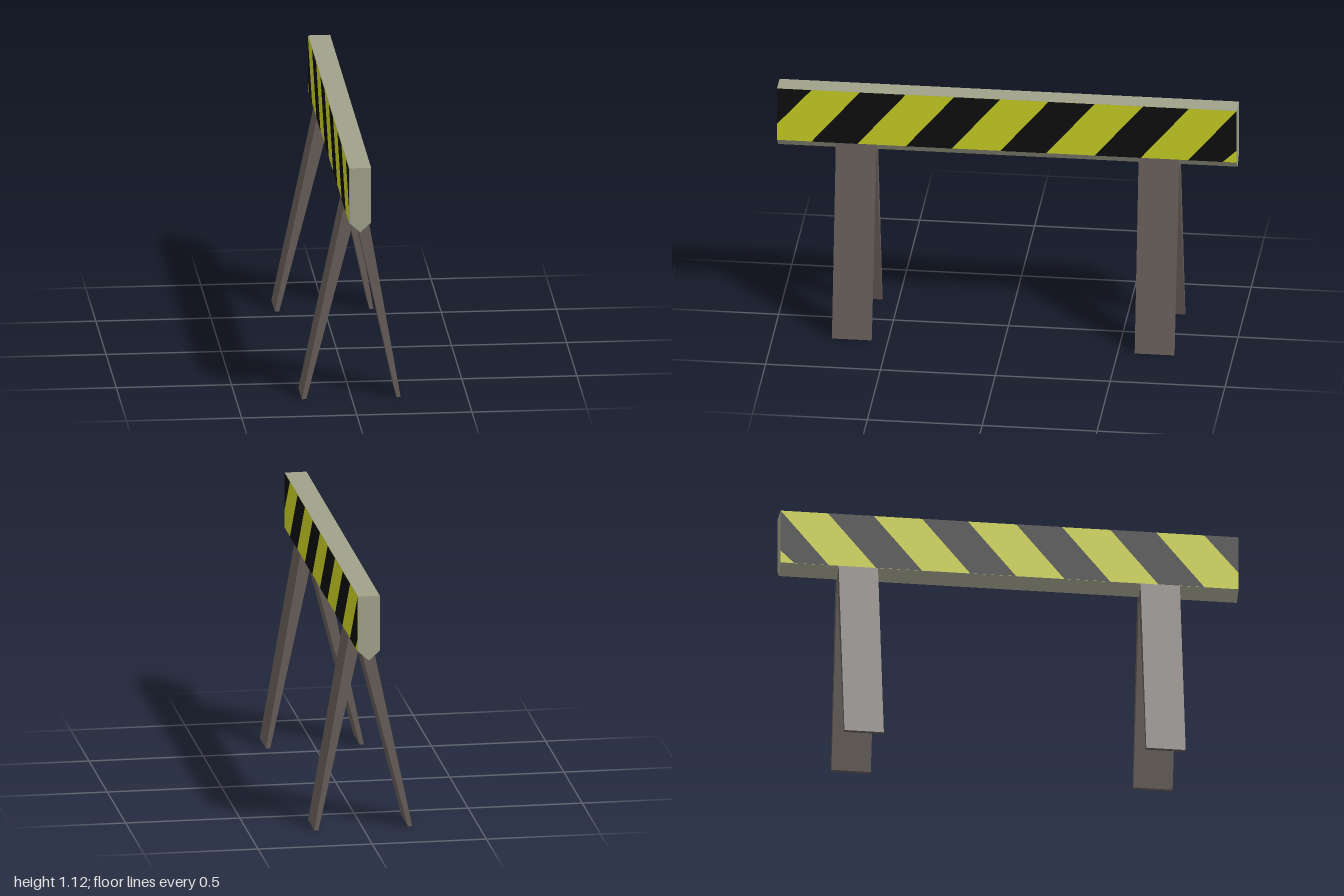
import * as THREE from 'three';

const material = (name, color) => {
  const m = new THREE.MeshStandardMaterial({ color });
  m.name = name;
  return m;
};

const polygon = (points) => new THREE.Shape(points.map(([a, b]) => new THREE.Vector2(a, b)));

// Cross-section in x and y, extruded along z and centred on zCentre
function prism(name, profile, length, zCentre, mat) {
  const geometry = new THREE.ExtrudeGeometry(polygon(profile), { depth: length, bevelEnabled: false });
  geometry.translate(0, 0, zCentre - length / 2);
  const mesh = new THREE.Mesh(geometry, mat);
  mesh.name = name;
  return mesh;
}

// Flat outlines in z and y, facing +x (side 1) or -x (side -1)
function sidePanel(name, outlines, x, side, mat) {
  const shapes = outlines.map((outline) => polygon(outline.map(([z, y]) => [-side * z, y])));
  const geometry = new THREE.ShapeGeometry(shapes);
  geometry.rotateY(side * Math.PI / 2);
  geometry.translate(x, 0, 0);
  const mesh = new THREE.Mesh(geometry, mat);
  mesh.name = name;
  return mesh;
}

export function createModel() {
  const model = new THREE.Group();
  model.name = 'roadBarrier';

  const boardGrey = material('oliveGreyBoard', 0x9fa18a);
  const legBrown = material('greyBrownLegs', 0x655c57);
  const yellow = material('warningYellow', 0xc8ce24);
  const black = material('warningBlack', 0x0d0d0d);

  // Board dimensions
  const left = 0.062, right = -0.033, middle = 0.015;
  const top = 1.115, shoulder = 0.868, keel = 0.825;

  // Long board with a pointed underside
  model.add(prism('board', [
    [right, top], [right, shoulder], [middle, keel], [left, shoulder], [left, top],
  ], 2, 0, boardGrey));

  // Slanted stripes: cut off at both ends, with four whole ones between
  const stripes = [
    [[1, top], [0.85, top], [1, 0.945]],
    [[-1, top], [-1, 0.925], [-0.94, shoulder], [-0.79, shoulder]],
  ];
  for (let i = 0; i < 4; i++) {
    const z = 0.85 - 0.411 * i;
    stripes.push([[z, shoulder], [z - 0.2, shoulder], [z - 0.41, top], [z - 0.21, top]]);
  }
  const panel = [[1, shoulder], [-1, shoulder], [-1, top], [1, top]];

  for (const [side, x] of [[1, left], [-1, right]]) {
    const sideName = side > 0 ? 'left' : 'right';
    model.add(sidePanel(`${sideName}YellowPanel`, [panel], x + side * 0.001, side, yellow));
    model.add(sidePanel(`${sideName}BlackStripes`, stripes, x + side * 0.002, side, black));
  }

  // Two pairs of splayed, tapering legs
  for (const [place, z] of [['front', 0.658], ['back', -0.66]]) {
    const pair = new THREE.Group();
    pair.name = `${place}Legs`;
    pair.add(prism(`${place}LeftLeg`, [
      [left, shoulder], [middle, keel], [0.195, 0], [0.213, 0],
    ], 0.172, z, legBrown));
    pair.add(prism(`${place}RightLeg`, [
      [right, shoulder], [middle, keel], [-0.197, 0], [-0.216, 0],
    ], 0.172, z, legBrown));
    model.add(pair);
  }

  return model;
}
